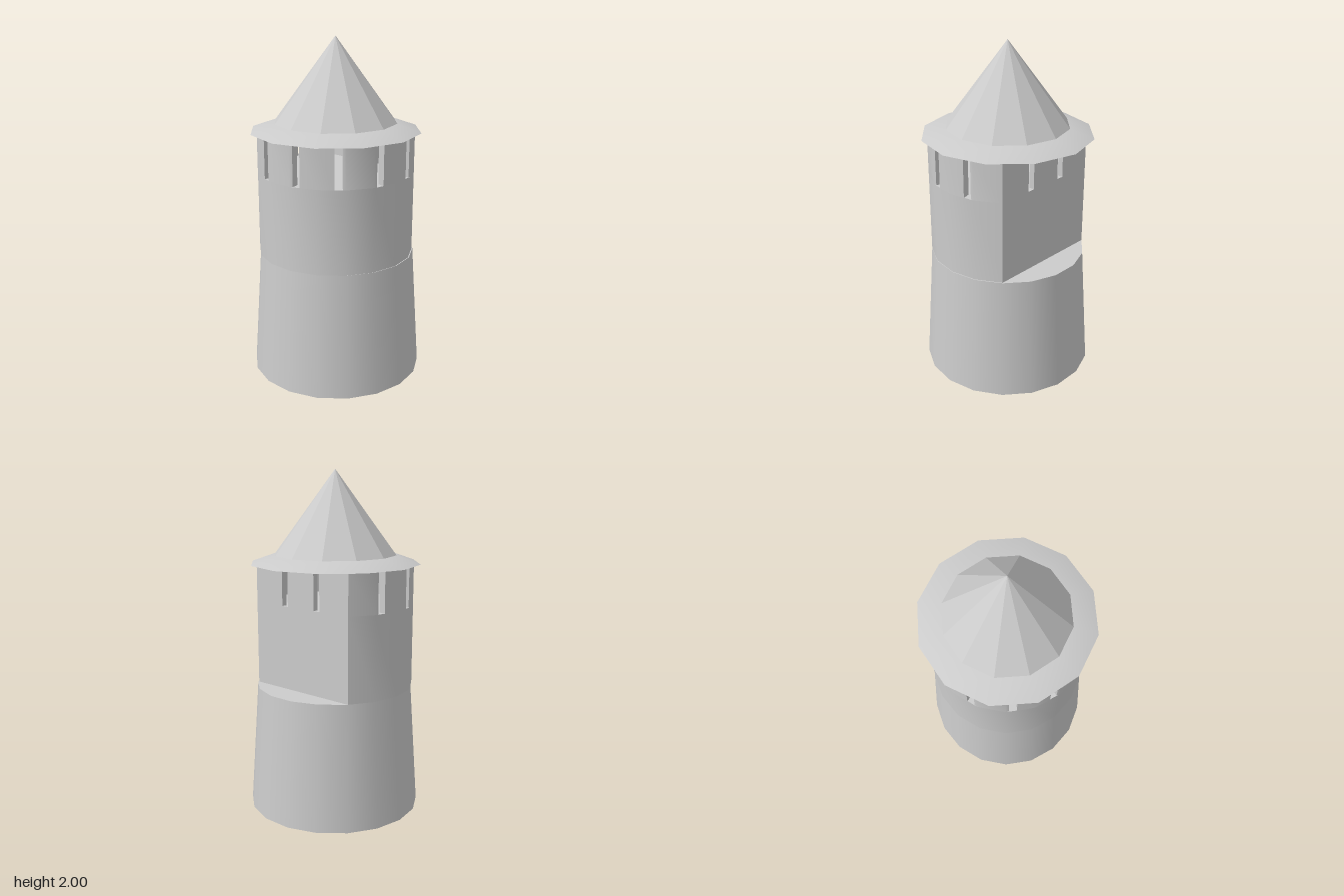
import * as THREE from 'three';
import { toCreasedNormals } from 'three/addons/utils/BufferGeometryUtils.js';

const R = 0.46;                 // tower radius
const SIDES = 18;
const FLAT = R * Math.sin(THREE.MathUtils.degToRad(40)); // depth of the flat back wall
const rad = THREE.MathUtils.degToRad;
const polar = (deg, r) => new THREE.Vector2(r * Math.cos(rad(deg)), r * Math.sin(rad(deg)));

const smooth = new THREE.MeshStandardMaterial({ color: 0xcccccc, side: THREE.DoubleSide });
const faceted = new THREE.MeshStandardMaterial({ color: 0xcccccc, flatShading: true });

function add(parent, name, geometry, material, y = 0) {
  const mesh = new THREE.Mesh(geometry, material);
  mesh.name = name;
  mesh.position.y = y;
  parent.add(mesh);
  return mesh;
}

// Extrude a plan outline (x, -z) upwards, smooth round the curve and sharp at corners
function extrudeUp(points, height) {
  const geo = new THREE.ExtrudeGeometry(new THREE.Shape(points), { depth: height, bevelEnabled: false });
  geo.rotateX(-Math.PI / 2);
  return toCreasedNormals(geo, 0.6);
}

// Corner angles of the plan; those cut away by the flat back are left out
const corners = [];
for (let a = 0; a < 360; a += 360 / SIDES) if (a <= 40 || a >= 140) corners.push(a);

// Narrow slots: two in the flat back, the rest round the curve
function slotList() {
  const list = [];
  const curved = (a) => {
    const mid = Math.floor(a / 20) * 20 + 10;
    const r = R * Math.cos(rad(10)) / Math.cos(rad(a - mid));
    list.push({ angle: a, p: polar(a, r), n: polar(a, 1), depth: 0.05 });
  };
  const back = (x) => {
    const p = new THREE.Vector2(x, FLAT);
    list.push({ angle: THREE.MathUtils.radToDeg(p.angle()), p, n: new THREE.Vector2(0, 1), depth: 0.033 });
  };
  curved(15);
  back(0.122);
  back(-0.122);
  for (let a = 165; a < 360; a += 30) curved(a);
  return list;
}

// Outer and inner corner of a slot on one side of it
function slotEdge(slot, side) {
  const tangent = new THREE.Vector2(-slot.n.y, slot.n.x);
  const outer = slot.p.clone().addScaledVector(tangent, side * 0.022);
  const inner = outer.clone().addScaledVector(slot.n, -slot.depth);
  return { outer, inner };
}

export function createModel() {
  const model = new THREE.Group();
  model.name = 'tower';

  // Tapered base, open underneath, closed by a ledge on top
  add(model, 'base', new THREE.CylinderGeometry(R, 0.51, 0.74, SIDES, 1, true, Math.PI / 2), smooth, 0.37);
  add(model, 'ledge', new THREE.CircleGeometry(R, SIDES).rotateX(-Math.PI / 2), smooth, 0.74);

  const upper = new THREE.Group();
  upper.name = 'upperTower';
  upper.position.set(-0.004, 0, 0.004);
  model.add(upper);

  // Shaft with the flat back
  add(upper, 'shaft', extrudeUp(corners.map((a) => polar(a, R)), 0.49), smooth, 0.74);

  // Wall blocks between the slots
  const blocks = new THREE.Group();
  blocks.name = 'slottedWall';
  upper.add(blocks);
  const slots = slotList();
  slots.forEach((slot, i) => {
    const next = slots[(i + 1) % slots.length];
    const end = next.angle > slot.angle ? next.angle : next.angle + 360;
    const between = [...corners, ...corners.map((a) => a + 360)].filter((a) => a > slot.angle && a < end);
    const from = slotEdge(slot, 1);
    const to = slotEdge(next, -1);
    const outline = [
      from.outer, ...between.map((a) => polar(a, R)), to.outer,
      to.inner, ...between.reverse().map((a) => polar(a, R * 0.89)), from.inner,
    ];
    add(blocks, 'wallBlock', extrudeUp(outline, 0.23), smooth, 1.23);
  });

  // Roof: shallow brim and pointed cone
  const roof = new THREE.Group();
  roof.name = 'roof';
  upper.add(roof);
  const brim = toCreasedNormals(new THREE.CylinderGeometry(0.36, 0.5, 0.05, 12), 0.6);
  // The creased limit is wide enough to keep the brim slope smooth
  add(roof, 'brim', brim, smooth, 1.49);
  add(roof, 'cone', new THREE.ConeGeometry(0.36, 0.485, 12, 1, true), faceted, 1.7575);

  return model;
}
